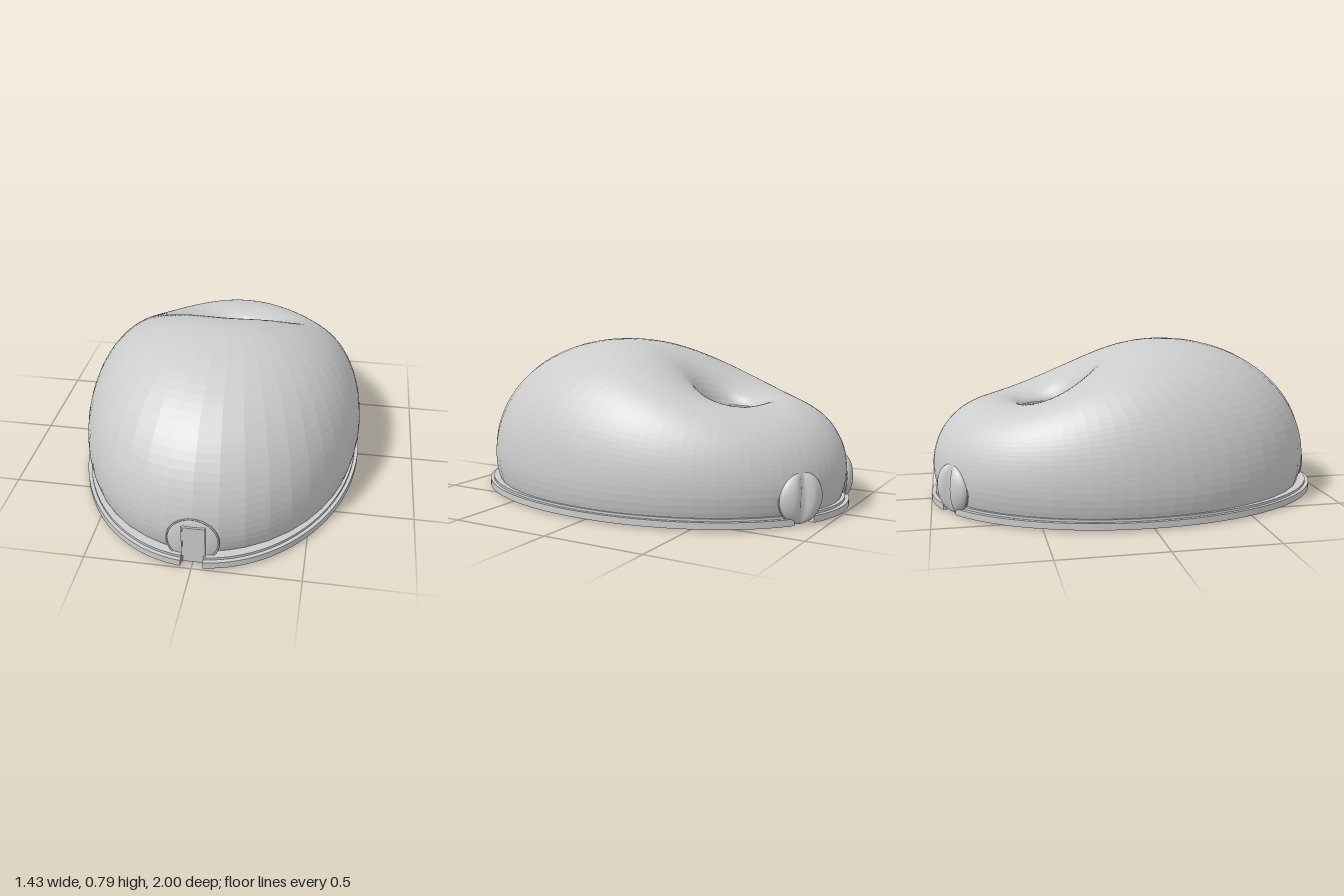
import * as THREE from 'three';

const concrete = new THREE.MeshStandardMaterial({ color: 0xcccccc, side: THREE.DoubleSide });
concrete.name = 'pale grey';

const HOLE_Z = -0.4, HOLE_R = 0.14, HOLE_Y = 0.45;

function add(parent, name, geometry, x = 0, y = 0, z = 0) {
  const mesh = new THREE.Mesh(geometry, concrete);
  mesh.name = name;
  mesh.position.set(x, y, z);
  parent.add(mesh);
  return mesh;
}

// Round bar between two points
function bar(parent, name, a, b, radius, sides = 6) {
  const dir = b.clone().sub(a);
  const mesh = add(parent, name, new THREE.CylinderGeometry(radius, radius, dir.length(), sides));
  mesh.position.copy(a).add(b).multiplyScalar(0.5);
  mesh.quaternion.setFromUnitVectors(new THREE.Vector3(0, 1, 0), dir.normalize());
  return mesh;
}

// Flat curved strip between two ellipses; angle PI/2 points to the back
function strip(outer, inner, a0, a1, height) {
  const shape = new THREE.Shape();
  shape.absellipse(0, 0, outer[0], outer[1], a0, a1, false, 0);
  shape.absellipse(0, 0, inner[0], inner[1], a1, a0, true, 0);
  return new THREE.ExtrudeGeometry(shape, { depth: height, bevelEnabled: false, curveSegments: 40 })
    .rotateX(-Math.PI / 2);
}

// Distance from the roof opening to the widest outline of the shell
function reach(theta) {
  const ax = 0.71, az = 0.97, z0 = HOLE_Z + 0.015;
  const s = Math.sin(theta) / ax, c = Math.cos(theta) / az, k = z0 / az;
  const A = s * s + c * c, B = c * k, C = k * k - 1;
  return (-B + Math.sqrt(B * B - A * C)) / A;
}

// Lopsided ring-shaped shell: a profile swept around the roof opening
function shellGeometry() {
  const around = 72, low = 4, outer = 24, inner = 16, rows = low + outer + inner;
  const pos = [], index = [];
  for (let i = 0; i <= around; i++) {
    const theta = (i / around) * Math.PI * 2, c = Math.cos(theta);
    const edge = reach(theta);
    const crest = 0.56 + 0.14 * c + 0.09 * c * c;
    const crestR = edge * (0.57 - 0.125 * c * c);
    for (let j = 0; j <= rows; j++) {
      let r, y;
      if (j < low) {
        const s = 1 - j / low;
        r = edge - 0.027 * s * s;
        y = 0.18 - 0.14 * s;
      } else if (j <= low + outer) {
        const t = ((j - low) / outer) * Math.PI / 2;
        r = crestR + (edge - crestR) * Math.cos(t);
        y = 0.18 + (crest - 0.18) * Math.sin(t);
      } else {
        const t = ((j - low - outer) / inner) * Math.PI / 2;
        r = crestR - (crestR - HOLE_R) * Math.sin(t);
        y = HOLE_Y + (crest - HOLE_Y) * Math.cos(t);
      }
      pos.push(r * Math.sin(theta), y, HOLE_Z + r * c);
      if (i < around && j < rows) {
        const a = i * (rows + 1) + j, b = a + rows + 1;
        index.push(a, b, a + 1, b, b + 1, a + 1);
      }
    }
  }
  const indexed = new THREE.BufferGeometry();
  indexed.setAttribute('position', new THREE.Float32BufferAttribute(pos, 3));
  indexed.setIndex(index);
  const flat = indexed.toNonIndexed();
  flat.computeVertexNormals();
  return flat;
}

// Rounded twin-leaf hatch with a groove down the middle
function hatchGeometry() {
  const g = new THREE.SphereGeometry(1, 40, 28), p = g.attributes.position;
  for (let i = 0; i < p.count; i++) {
    const x = p.getX(i);
    p.setXYZ(i, x * 0.118, p.getY(i) * 0.12,
      p.getZ(i) * 0.055 * (0.2 + 0.8 * Math.sin(Math.min(1, Math.abs(x) * 2) * Math.PI / 2)));
  }
  g.computeVertexNormals();
  return g;
}

function buildPerson() {
  const person = new THREE.Group();
  person.name = 'person';
  const v = (x, y, z) => new THREE.Vector3(x, y, z);
  add(person, 'head', new THREE.SphereGeometry(0.013, 12, 10), 0, 0.185, 0).scale.y = 1.2;
  add(person, 'neck', new THREE.CylinderGeometry(0.005, 0.006, 0.02, 8), 0, 0.168, 0);
  add(person, 'torso', new THREE.CylinderGeometry(0.022, 0.015, 0.07, 10), 0, 0.128, 0).scale.z = 0.6;
  for (const s of [-1, 1]) {
    bar(person, 'leg', v(s * 0.009, 0.1, 0), v(s * 0.012, 0.008, s * 0.014), 0.008, 8);
    add(person, 'foot', new THREE.BoxGeometry(0.012, 0.008, 0.028), s * 0.012, 0.006, s * 0.014 + 0.006);
    bar(person, 'upperArm', v(s * 0.021, 0.158, 0), v(s * 0.03, 0.122, -s * 0.006), 0.006);
    bar(person, 'forearm', v(s * 0.03, 0.122, -s * 0.006), v(s * 0.031, 0.088, -s * 0.004 + 0.008), 0.005);
  }
  return person;
}

export function createModel() {
  const model = new THREE.Group();
  model.name = 'domeHouse';
  add(model, 'shell', shellGeometry());

  // Foundation kerb, broken at the door and both hatches
  const hatchAngle = 1.16, gap = 0.072, front = Math.PI * 1.5;
  const runs = [
    [front + gap - Math.PI * 2, hatchAngle - gap],
    [hatchAngle + gap, Math.PI - hatchAngle - gap],
    [Math.PI - hatchAngle + gap, front - gap],
  ];
  for (const [a0, a1] of runs) {
    add(model, 'kerb', strip([0.715, 1], [0.65, 0.93], a0, a1, 0.032), 0, 0.008, 0);
    add(model, 'kerbLip', strip([0.698, 0.98], [0.655, 0.935], a0, a1, 0.012), 0, 0.04, 0);
  }

  // Front door set in a shallow round bulge
  const door = new THREE.Group();
  door.name = 'frontDoor';
  door.position.z = 0.945;
  model.add(door);
  add(door, 'doorBulge', new THREE.SphereGeometry(1, 40, 24), 0, 0.124, 0).scale.set(0.122, 0.12, 0.02);
  add(door, 'doorRim', new THREE.TorusGeometry(0.12, 0.004, 8, 48), 0, 0.124, 0.006);
  add(door, 'doorPanel', new THREE.BoxGeometry(0.1, 0.19, 0.03), 0.005, 0.105, 0.005);
  for (const s of [-1, 1]) add(door, 'doorJamb', new THREE.BoxGeometry(0.006, 0.198, 0.04), 0.005 + s * 0.052, 0.108, 0.004);
  add(door, 'doorLintel', new THREE.BoxGeometry(0.11, 0.006, 0.04), 0.005, 0.205, 0.004);

  // Twin back hatches
  for (const s of [-1, 1]) {
    const hatch = new THREE.Group();
    hatch.name = s > 0 ? 'leftHatch' : 'rightHatch';
    hatch.position.set(s * 0.28, 0.127, -0.89);
    hatch.rotation.y = Math.atan2(s * 0.53, -0.85);
    model.add(hatch);
    add(hatch, 'hatchLeaves', hatchGeometry());
    add(hatch, 'hatchRim', new THREE.TorusGeometry(0.118, 0.004, 8, 48));
  }

  // Roof opening: rim, hub and spokes
  const core = new THREE.Group();
  core.name = 'lightWell';
  core.position.z = HOLE_Z;
  model.add(core);
  add(core, 'openingRim', new THREE.TorusGeometry(0.137, 0.008, 10, 48).rotateX(Math.PI / 2), 0, HOLE_Y, 0);
  add(core, 'innerRim', new THREE.TorusGeometry(0.124, 0.004, 8, 48).rotateX(Math.PI / 2), 0, HOLE_Y, 0);
  add(core, 'hub', new THREE.CylinderGeometry(0.014, 0.014, 0.012, 16), 0, HOLE_Y, 0);
  const at = (k, r, y) => new THREE.Vector3(r * Math.sin(k * Math.PI / 6), y, r * Math.cos(k * Math.PI / 6));
  for (let k = 0; k < 12; k++) {
    bar(core, 'spoke', at(k, 0.01, HOLE_Y), at(k, 0.13, HOLE_Y), 0.0035);
    // Crossing lattice struts down to the ring seat
    for (const step of [-1, 1]) bar(core, 'latticeStrut', at(k, 0.135, 0.03), at(k + step, 0.135, HOLE_Y), 0.002, 5);
  }

  // Open ring at the foot of the lattice
  add(core, 'floorRing', strip([0.177, 0.177], [0.122, 0.122], Math.PI / 2 + 0.33, Math.PI * 2.5 - 0.33, 0.04));

  const person = buildPerson();
  person.position.set(0, 0.002, 0.22);
  model.add(person);
  return model;
}
